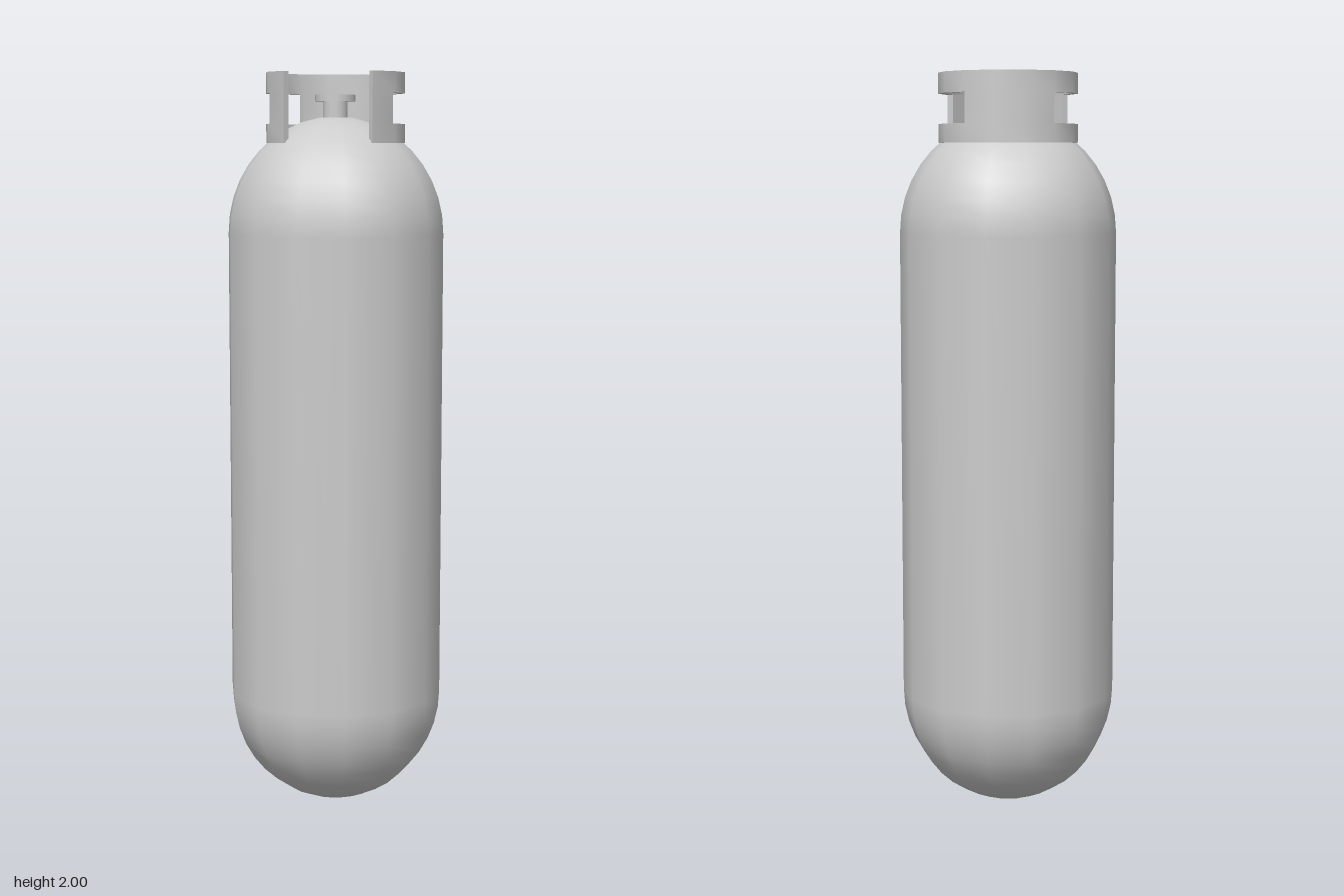
import * as THREE from 'three';
import { mergeGeometries, toCreasedNormals } from 'three/addons/utils/BufferGeometryUtils.js';

const SIDES = 14;
const OUTER = 0.187, INNER = 0.17;
const material = new THREE.MeshStandardMaterial({ color: 0xcccccc });

function addMesh(group, name, geometry) {
  const mesh = new THREE.Mesh(geometry, material);
  mesh.name = name;
  group.add(mesh);
  return mesh;
}

// Point on a 14-sided ring; k counts corners from +x towards +z, fractions lie on the flat
function ringPoint(radius, k) {
  const corner = (i) => new THREE.Vector2(
    radius * Math.cos(i * 2 * Math.PI / SIDES), -radius * Math.sin(i * 2 * Math.PI / SIDES));
  const i = Math.floor(k);
  return corner(i).lerp(corner(i + 1), k - i);
}

// Curved plate of the collar from corner k0 to k1 and height y0 to y1
function plate(k0, k1, y0, y1) {
  const stops = [k0];
  for (let k = Math.floor(k0) + 1; k < k1; k++) stops.push(k);
  stops.push(k1);
  const outline = [
    ...stops.map((k) => ringPoint(OUTER, k)),
    ...stops.slice().reverse().map((k) => ringPoint(INNER, k)),
  ];
  return new THREE.ExtrudeGeometry(new THREE.Shape(outline), { depth: y1 - y0, bevelEnabled: false })
    .rotateX(-Math.PI / 2).translate(0, y0, 0);
}

export function createModel() {
  const model = new THREE.Group();
  model.name = 'gasCylinder';

  // Tank: two domed ends joined by a straight wall
  const R = 0.292, STEPS = 10, profile = [];
  for (let i = 0; i <= STEPS; i++) {
    const a = (i / STEPS) * Math.PI / 2;
    profile.push(new THREE.Vector2(R * Math.sin(a), 0.31 - 0.31 * Math.cos(a)));
  }
  for (let i = STEPS; i >= 0; i--) {
    const a = (i / STEPS) * Math.PI / 2;
    profile.push(new THREE.Vector2(R * Math.sin(a), 1.575 + 0.31 * Math.cos(a)));
  }
  addMesh(model, 'tank', new THREE.LatheGeometry(profile, SIDES).rotateY(Math.PI / 2));

  // Guard collar: open at the front, with a hand hole on each side
  const low = 1.815, holeLow = 1.865, holeHigh = 1.945, top = 2;
  const collar = mergeGeometries([
    plate(-9, 2, low, holeLow),
    plate(-9, 2, holeHigh, top),
    plate(1.1, 2, holeLow, holeHigh),
    plate(-5, -2, holeLow, holeHigh),
    plate(-9, -8.1, holeLow, holeHigh),
  ]);
  addMesh(model, 'collar', toCreasedNormals(collar, 0.5));

  // Valve: stem and hand knob
  const valve = new THREE.Group();
  valve.name = 'valve';
  model.add(valve);
  const stem = new THREE.CylinderGeometry(0.033, 0.033, 0.07, SIDES).rotateY(Math.PI / 2);
  addMesh(valve, 'valveStem', stem).position.y = 1.895;
  const knob = new THREE.CylinderGeometry(0.054, 0.054, 0.017, SIDES).rotateY(Math.PI / 2);
  addMesh(valve, 'valveKnob', knob).position.y = 1.933;

  return model;
}
